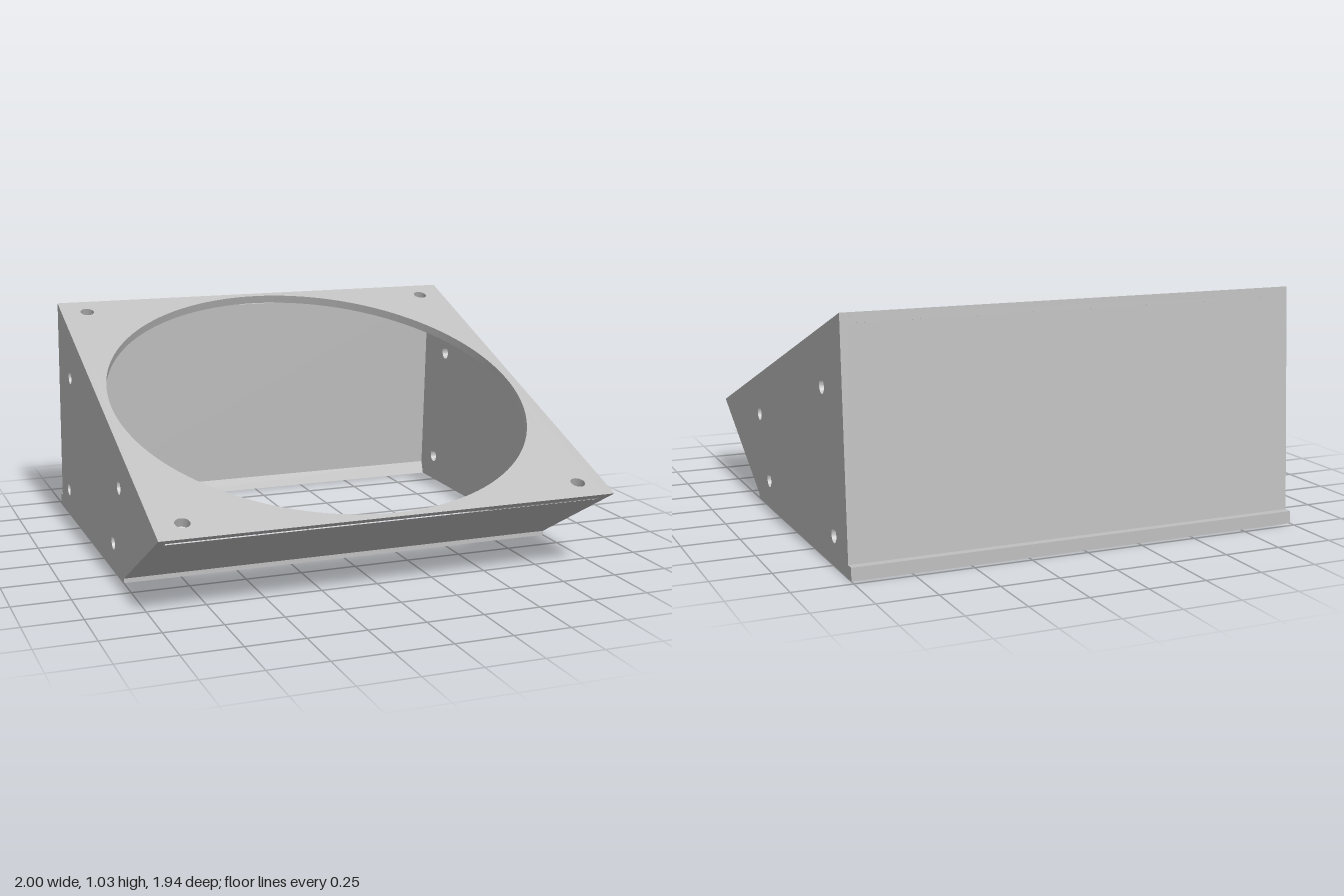
import * as THREE from 'three';

const WALL = 0.04;   // side wall and face plate thickness
const INNER = 1.92;  // width between the side walls

const polygon = (pts) => new THREE.Shape(pts.map(([a, b]) => new THREE.Vector2(a, b)));

// Extrudes a (z, y) section along x, centred on x = cx.
function extrudeAcross(shape, width, cx = 0) {
  const g = new THREE.ExtrudeGeometry(shape, { depth: width, bevelEnabled: false, curveSegments: 20 });
  g.rotateY(-Math.PI / 2);
  g.translate(cx + width / 2, 0, 0);
  return g;
}

function roundHole(x, y, r) {
  const p = new THREE.Path();
  p.absarc(x, y, r, 0, Math.PI * 2, true);
  return p;
}

// Round hole with a pointed roof
function teardropHole(z, y, r) {
  const p = new THREE.Path();
  p.moveTo(z, y + r * Math.SQRT2);
  p.absarc(z, y, r, Math.PI * 0.75, Math.PI * 2.25, false);
  p.closePath();
  return p;
}

export function createModel() {
  const group = new THREE.Group();
  const grey = new THREE.MeshStandardMaterial({ color: 0xc0c0c0 });
  grey.name = 'grey';
  const add = (name, geometry) => {
    const mesh = new THREE.Mesh(geometry, grey);
    mesh.name = name;
    group.add(mesh);
  };

  // Wedge-shaped side walls with four screw holes each
  const side = polygon([
    [0.37, 0], [0.37, 0.02], [0.97, 0.355], [-0.88, 1.025],
    [-0.935, 0.055], [-0.97, 0.055], [-0.97, 0],
  ]);
  for (const [z, y] of [[-0.638, 0.703], [0.323, 0.408], [0.187, 0.127], [-0.76, 0.127]]) {
    side.holes.push(teardropHole(z, y, 0.032));
  }
  for (const s of [-1, 1]) {
    add(s > 0 ? 'leftWall' : 'rightWall', extrudeAcross(side, WALL, s * (1 - WALL / 2)));
  }

  // Back wall with its outer foot lip and small inner flare
  add('backWall', extrudeAcross(polygon([
    [-0.89, 0], [-0.91, 0.06], [-0.862, 0.976], [-0.8824, 0.9834],
    [-0.935, 0.055], [-0.97, 0.055], [-0.97, 0],
  ]), INNER));

  // Thin sloping front panel, ending just short of the face plate to leave a slot
  add('frontPanel', extrudeAcross(polygon([
    [0.32, 0], [0.37, 0], [0.37, 0.02], [0.9, 0.316], [0.898, 0.3165],
  ]), INNER));

  // Tilted face plate with the large opening and corner holes
  const half = 0.984;
  const w = INNER / 2;
  const face = polygon([[-w, -half], [w, -half], [w, half], [-w, half]]);
  face.holes.push(roundHole(0, 0, 0.957));
  for (const x of [-0.877, 0.877]) {
    for (const v of [-0.88, 0.88]) face.holes.push(roundHole(x, v, 0.032));
  }
  const plate = new THREE.ExtrudeGeometry(face, { depth: WALL, bevelEnabled: false, curveSegments: 64 });
  // Mitre the underside to follow the front and back slopes
  const pos = plate.attributes.position;
  for (let i = 0; i < pos.count; i++) {
    if (pos.getZ(i) < WALL / 2) pos.setY(i, THREE.MathUtils.clamp(pos.getY(i), -0.95, 0.972));
  }
  plate.computeVertexNormals();
  plate.translate(0, 0, -WALL);
  plate.rotateX(Math.atan2(0.67, 1.85) - Math.PI / 2);
  plate.translate(0, 0.69, 0.045);
  add('facePlate', plate);

  return group;
}
